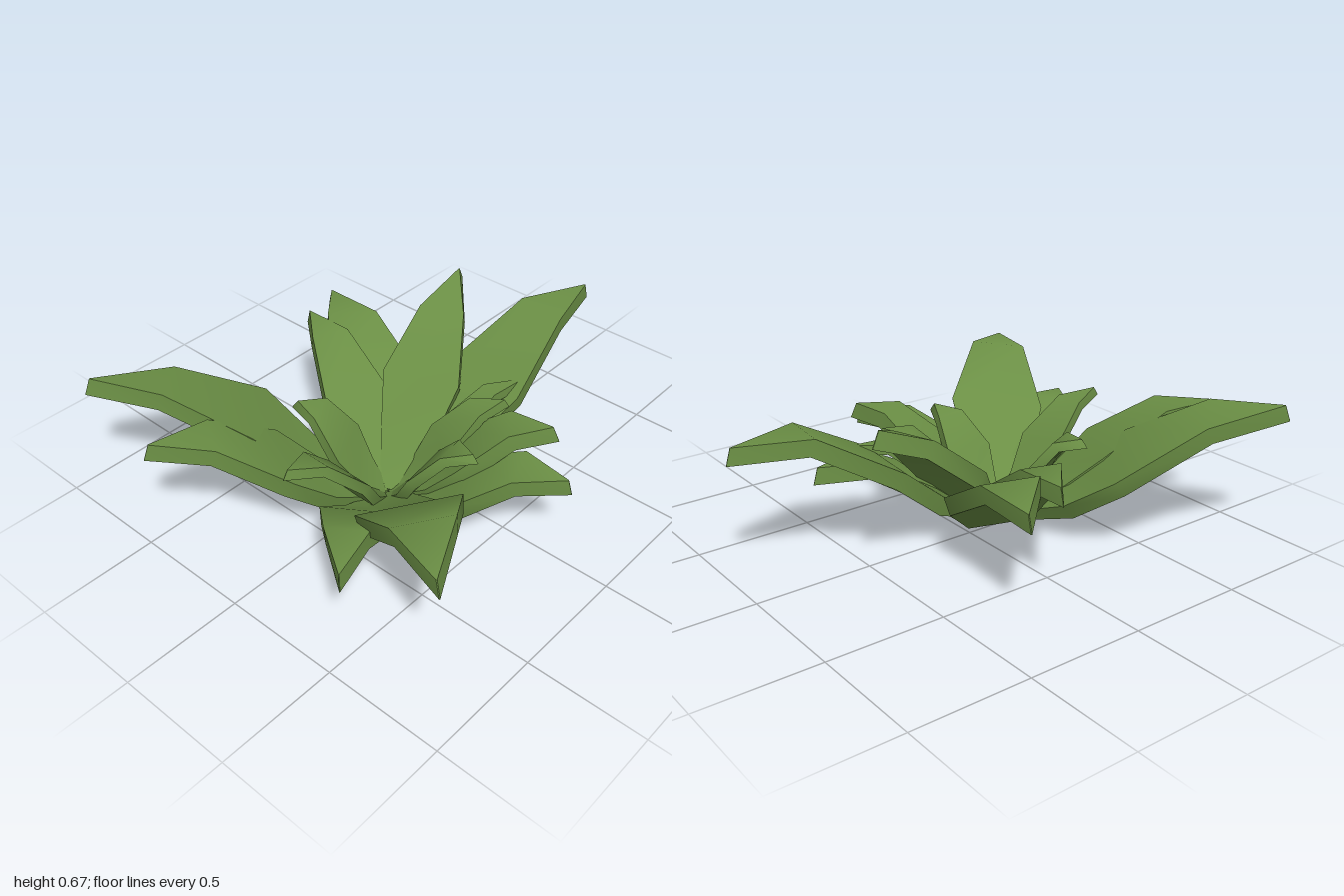
import * as THREE from 'three';
import { toCreasedNormals } from 'three/addons/utils/BufferGeometryUtils.js';

const HEART = new THREE.Vector3(0.04, 0, 0.185);

// Stations along a leaf: [distance, height, width, sideways bow, thickness]
const STATIONS = [
  [0.02, 0.07, 0.22, 0, 0.6],
  [0.28, 0.32, 0.7, 0.5, 1],
  [0.46, 0.65, 1, 1, 1],
  [0.74, 1, 0.58, 0.5, 1],
  [0.99, 1, 0.01, 0, 1],
];

// Thick pointed blade that rises from the heart, bends at the knee and ends in a tip.
function makeLeaf([x, y, z, width, knee, roll, bend], thickness) {
  const run = new THREE.Vector3(x - HEART.x, 0, z - HEART.z);
  const side = new THREE.Vector3(run.z, 0, -run.x).normalize();
  const across = side.clone().multiplyScalar(Math.cos(roll));
  across.y = Math.sin(roll);

  const spine = STATIONS.map(([d, h, , bow], i) => {
    const p = HEART.clone().addScaledVector(run, d).addScaledVector(side, bend * bow);
    p.y = y * h * (i === 4 ? 1 : knee);
    return p;
  });

  // Ring of four corners per station, with the underside slightly narrower
  const positions = [];
  spine.forEach((p, i) => {
    const before = i === 4 ? 2 : Math.max(i - 1, 0);
    const tangent = spine[Math.min(i + 1, 4)].clone().sub(spine[before]);
    const normal = tangent.cross(across).normalize();
    const w = width * STATIONS[i][2];
    const t = thickness * STATIONS[i][4];
    for (const [a, b] of [[1, 1], [-1, 1], [-0.93, -1], [0.93, -1]]) {
      const v = p.clone().addScaledVector(across, a * w).addScaledVector(normal, b * t);
      positions.push(v.x, Math.max(v.y, 0.005 * (1 + b)), v.z);
    }
  });

  const index = [];
  const quad = (a, b, c, d) => index.push(a, b, c, a, c, d);
  for (let i = 0; i < 4; i++) {
    for (let k = 0; k < 4; k++) {
      const n = (k + 1) % 4;
      quad(i * 4 + k, i * 4 + n, i * 4 + 4 + n, i * 4 + 4 + k);
    }
  }
  quad(0, 3, 2, 1);
  quad(16, 17, 18, 19);

  const geometry = new THREE.BufferGeometry();
  geometry.setAttribute('position', new THREE.Float32BufferAttribute(positions, 3));
  geometry.setIndex(index);
  return toCreasedNormals(geometry, 1);
}

// Each leaf: tip x, y, z, half width, knee height relative to tip, roll, sideways bend
const OUTER = [
  [0.17, 0.535, -1.0, 0.19, 1.01, 0.02, -0.02],
  [-0.24, 0.64, -0.61, 0.17, 0.86, 0, 0],
  [-0.78, 0.43, -0.33, 0.19, 1.05, 0.13, -0.07],
  [-0.71, 0.45, -0.12, 0.14, 1, 0.05, -0.02],
  [-0.85, 0.575, 0.95, 0.215, 0.93, 0.16, -0.095],
  [-0.455, 0.48, 0.99, 0.175, 0.98, 0, 0],
  [0.445, 0.31, 0.88, 0.15, 1.08, 0.06, -0.04],
  [0.845, 0.505, 0.82, 0.205, 1.04, 0.1, 0.01],
  [0.765, 0.32, -0.065, 0.16, 1.08, 0.08, -0.05],
  [0.6, 0.42, -0.19, 0.145, 1, 0, 0],
  [0.2, 0.35, -0.62, 0.15, 1.05, 0, 0],
];
const INNER = [
  [0.45, 0.41, 0.13, 0.12, 0.95, 0, 0],
  [0.03, 0.475, 0.73, 0.115, 0.94, 0, 0.015],
  [-0.315, 0.42, 0.35, 0.125, 0.97, 0, 0.01],
  [0.32, 0.41, -0.235, 0.11, 0.97, 0, 0],
  [0.27, 0.39, -0.42, 0.075, 1, 0, 0],
];

export function createModel() {
  const plant = new THREE.Group();
  plant.name = 'rosettePlant';
  const green = new THREE.MeshStandardMaterial({ color: 0x6b8f45 });

  const addRing = (name, leafName, leaves, thickness) => {
    const ring = new THREE.Group();
    ring.name = name;
    leaves.forEach((leaf, i) => {
      const mesh = new THREE.Mesh(makeLeaf(leaf, thickness), green);
      mesh.name = `${leafName}${i + 1}`;
      ring.add(mesh);
    });
    plant.add(ring);
  };
  addRing('outerLeaves', 'outerLeaf', OUTER, 0.037);
  addRing('innerLeaves', 'innerLeaf', INNER, 0.022);
  return plant;
}
